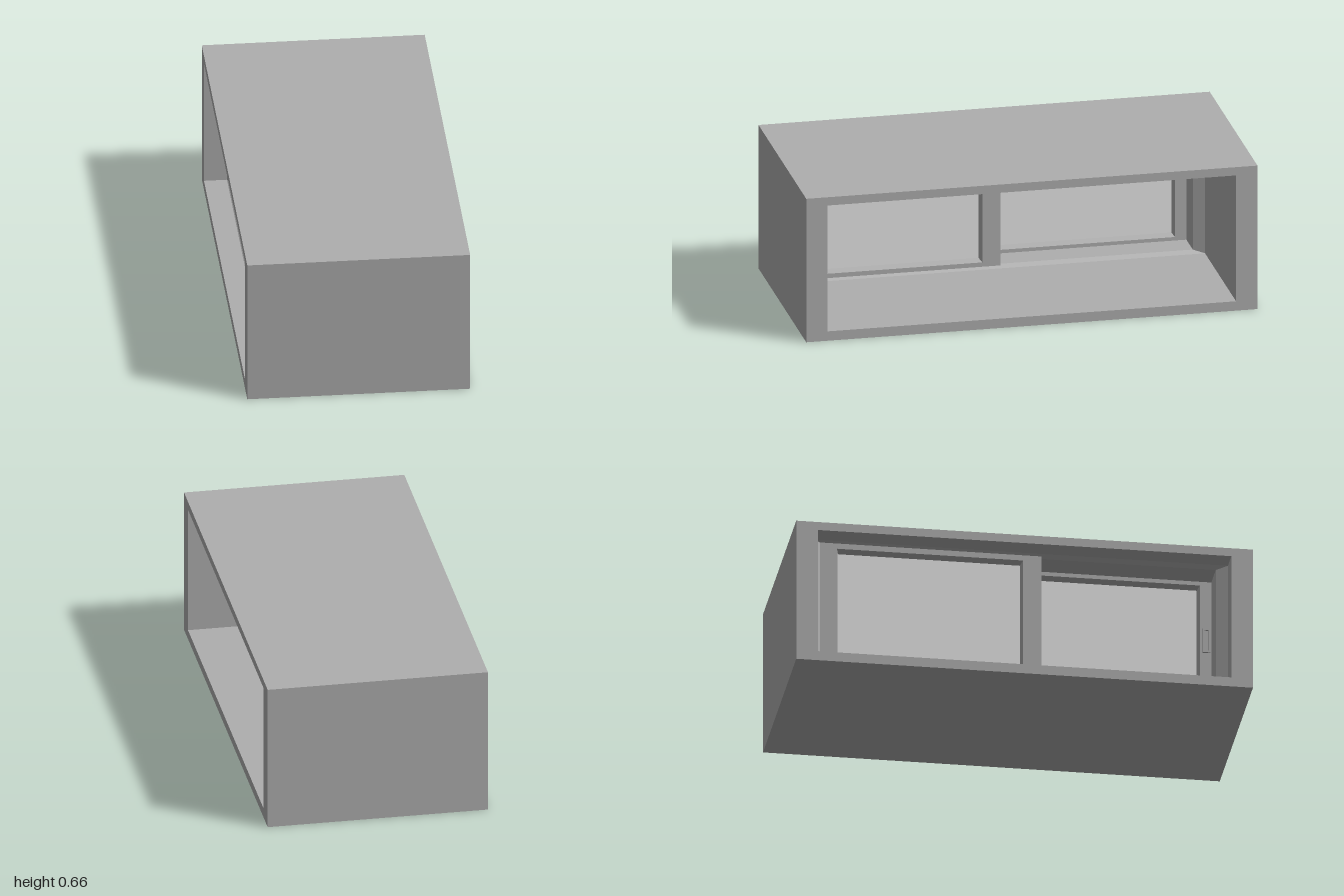
import * as THREE from 'three';

const wallGrey = new THREE.MeshStandardMaterial({ color: 0xaeaeae });
wallGrey.name = 'wallGrey';
const glassGrey = new THREE.MeshStandardMaterial({ color: 0xe7e7e7 });
glassGrey.name = 'glassGrey';

function add(parent, name, geometry, material) {
  const mesh = new THREE.Mesh(geometry, material);
  mesh.name = name;
  parent.add(mesh);
}

// Rectangles are given as [z0, z1, y0, y1]
function trace(path, [z0, z1, y0, y1]) {
  path.moveTo(-z1, y0);
  path.lineTo(-z0, y0);
  path.lineTo(-z0, y1);
  path.lineTo(-z1, y1);
  path.closePath();
  return path;
}

// Rectangular slab with a rectangular hole, running from x0 to x1
function holedSlab(x0, x1, outer, inner) {
  const shape = trace(new THREE.Shape(), outer);
  shape.holes.push(trace(new THREE.Path(), inner));
  const geometry = new THREE.ExtrudeGeometry(shape, { depth: x1 - x0, bevelEnabled: false });
  return geometry.rotateY(Math.PI / 2).translate(x0, 0, 0);
}

function box(x0, x1, [z0, z1, y0, y1]) {
  return new THREE.BoxGeometry(x1 - x0, y1 - y0, z1 - z0)
    .translate((x0 + x1) / 2, (y0 + y1) / 2, (z0 + z1) / 2);
}

const shrink = ([z0, z1, y0, y1], a, b = a) => [z0 + a, z1 - a, y0 + b, y1 - b];

// Inward-facing lining through rectangular rings [x, insetZ, insetY], x falling
function lining(opening, rings) {
  const loops = rings.map(([x, dz, dy]) => {
    const [z0, z1, y0, y1] = shrink(opening, dz, dy);
    return [[x, y0, z0], [x, y0, z1], [x, y1, z1], [x, y1, z0]];
  });
  const points = [];
  for (let i = 0; i < loops.length - 1; i++) {
    const a = loops[i], b = loops[i + 1];
    for (let k = 0; k < 4; k++) {
      const n = (k + 1) % 4;
      points.push(a[k], b[k], b[n], a[k], b[n], a[n]);
    }
  }
  const geometry = new THREE.BufferGeometry();
  geometry.setAttribute('position', new THREE.Float32BufferAttribute(points.flat(), 3));
  geometry.computeVertexNormals();
  return geometry;
}

// Sliding sash: outer frame, sloped glazing bead and pane
function sash(name, x0, x1, outer, hole) {
  const group = new THREE.Group();
  group.name = name;
  const mid = (x0 + x1) / 2;
  add(group, 'sashFrame', holedSlab(x0, x1, outer, hole), wallGrey);
  add(group, 'glazingBead', lining(hole, [[x1, 0, 0], [mid, 0.01, 0.01], [x0, 0, 0]]), wallGrey);
  add(group, 'glassPane', box(mid - 0.004, mid + 0.004, shrink(hole, 0.008)), glassGrey);
  return group;
}

export function createModel() {
  const model = new THREE.Group();
  model.name = 'slidingWindowInWall';

  // Thick wall block with a through opening
  const opening = [-0.905, 0.905, 0.043, 0.622];
  add(model, 'wall', holedSlab(-0.485, 0.485, [-1, 1, 0, 0.66], opening), wallGrey);

  // Fixed frame with splayed edges lining the opening
  add(model, 'windowFrame', lining(opening, [
    [-0.145, 0, 0], [-0.165, 0.05, 0.014], [-0.365, 0.05, 0.014], [-0.385, 0, 0],
  ]), wallGrey);

  // Two overlapping sashes on separate tracks
  const inner = sash('innerSash', -0.235, -0.155, [0, 0.88, 0.053, 0.615], [0.08, 0.805, 0.073, 0.59]);
  const outer = sash('outerSash', -0.375, -0.295, [-0.88, 0.09, 0.053, 0.615], [-0.805, 0.01, 0.073, 0.59]);
  model.add(inner, outer);

  // Pull on the stile of the inner sash
  const pull = [0.815, 0.85, 0.27, 0.385];
  add(inner, 'pullRim', holedSlab(-0.243, -0.235, pull, shrink(pull, 0.009)), wallGrey);

  return model;
}
